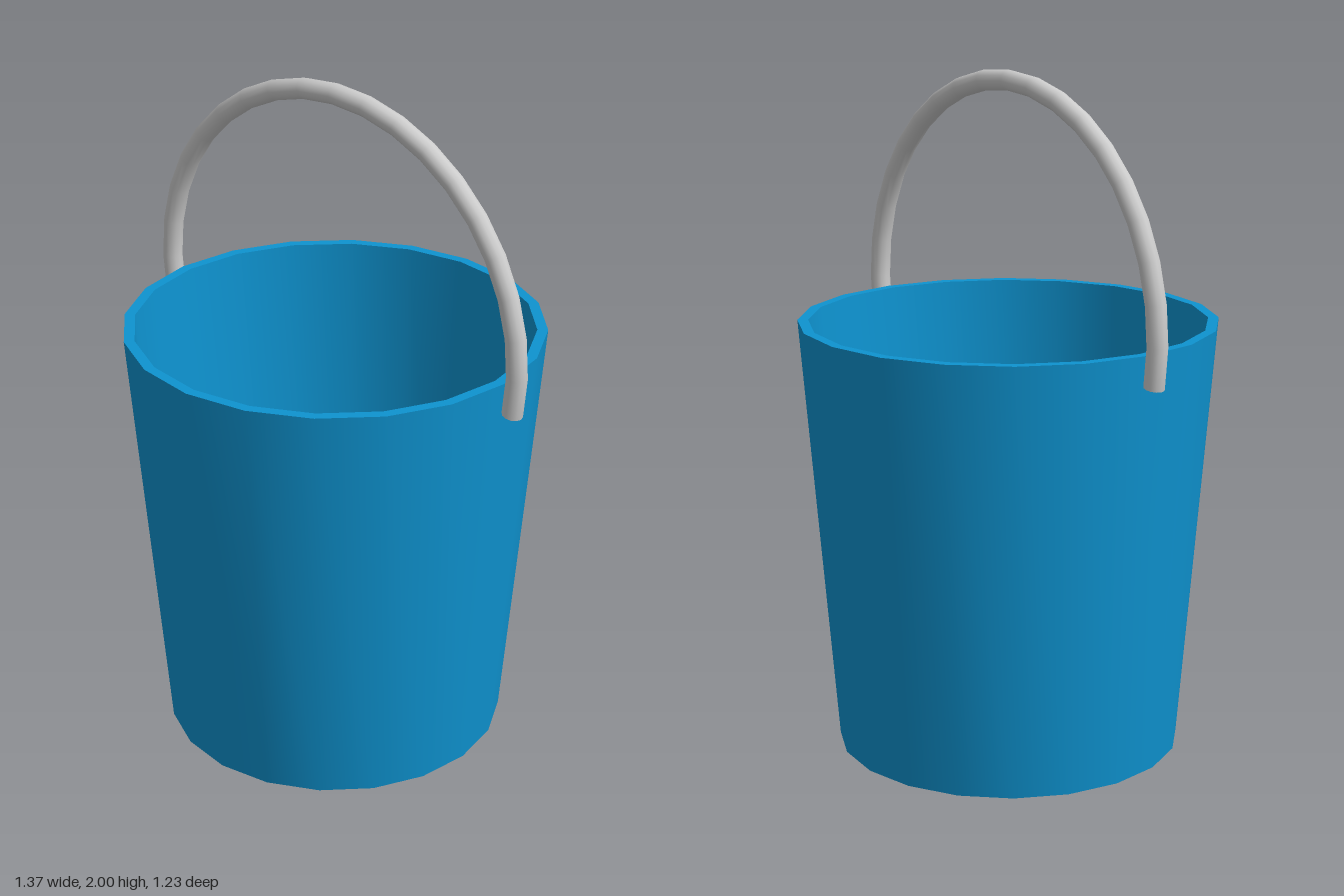
import * as THREE from 'three';
import { toCreasedNormals } from 'three/addons/utils/BufferGeometryUtils.js';

export function createModel() {
  const model = new THREE.Group();
  model.name = 'bucket';
  const blue = new THREE.MeshStandardMaterial({ color: 0x0e93d0, side: THREE.DoubleSide });
  const grey = new THREE.MeshStandardMaterial({ color: 0xcccccc });

  // Tapered pail: base, outer wall, rim, inner wall and stepped floor
  const profile = [
    [0, 0], [0.51, 0], [0.613, 1.28], [0.582, 1.28],
    [0.507, 0.012], [0.483, 0.012], [0.483, 0.03], [0, 0.03],
  ].map(([x, y]) => new THREE.Vector2(x, y));
  const pail = new THREE.Mesh(toCreasedNormals(new THREE.LatheGeometry(profile, 20), 0.55), blue);
  pail.name = 'pail';
  model.add(pail);

  // Arched carrying handle, running slightly past a half circle
  const radius = 0.655, tube = 0.03, centreY = 1.315, overrun = 0.183;
  const handle = new THREE.Group();
  handle.name = 'handle';
  handle.position.y = centreY;
  const arc = new THREE.Mesh(
    new THREE.TorusGeometry(radius, tube, 12, 20, Math.PI + 2 * overrun), grey);
  arc.name = 'handleArch';
  arc.rotation.z = -overrun;
  handle.add(arc);

  // Flat caps closing the handle ends
  for (const side of [1, -1]) {
    const cap = new THREE.Mesh(new THREE.CircleGeometry(tube, 12), grey);
    cap.name = side > 0 ? 'leftHandleEnd' : 'rightHandleEnd';
    cap.position.set(side * radius * Math.cos(overrun), -radius * Math.sin(overrun), 0);
    cap.lookAt(cap.position.clone().add(
      new THREE.Vector3(-side * Math.sin(overrun), -Math.cos(overrun), 0)));
    handle.add(cap);
  }
  model.add(handle);
  return model;
}
